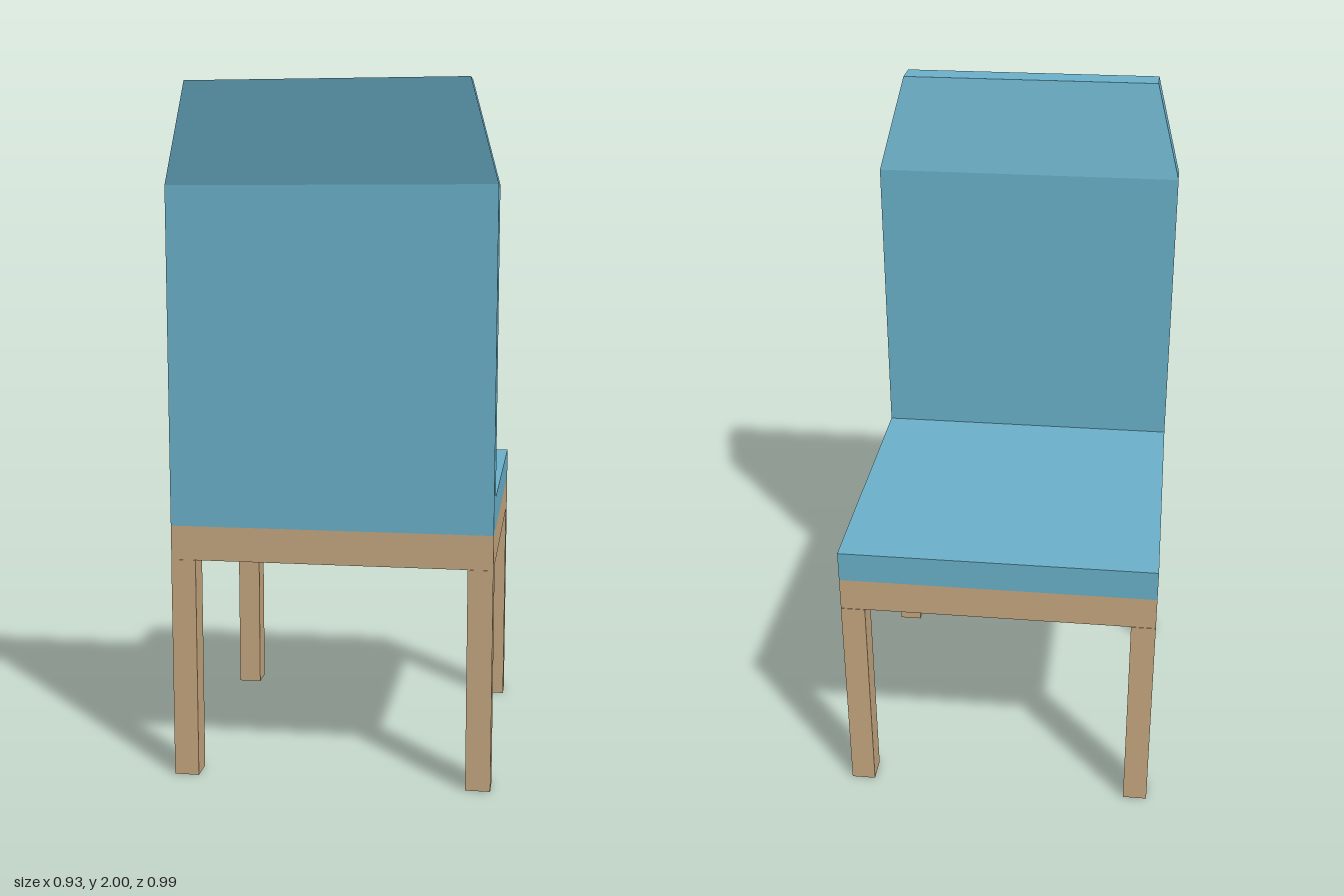
import * as THREE from 'three';

const W = 0.93;                  // overall width
const FRONT = -0.495, BACK = 0.44; // depth range of the seat
const LEG = 0.072;

export function createModel() {
  const chair = new THREE.Group();
  chair.name = 'chair';
  const fabric = new THREE.MeshStandardMaterial({ color: 0x6cb3cd, flatShading: true });
  const wood = new THREE.MeshStandardMaterial({ color: 0xc9aa82, flatShading: true });

  const add = (name, geometry, material, x = 0, y = 0, z = 0) => {
    const mesh = new THREE.Mesh(geometry, material);
    mesh.name = name;
    mesh.position.set(x, y, z);
    chair.add(mesh);
  };

  // Four square legs, flush with the corners of the frame
  const legGeometry = new THREE.BoxGeometry(LEG, 0.65, LEG + 0.003);
  for (const [side, sx] of [['Left', 1], ['Right', -1]]) {
    add('backrestLeg' + side, legGeometry, wood, sx * (W - LEG) / 2, 0.325, BACK - LEG / 2);
    add('seatLeg' + side, legGeometry, wood, sx * (W - LEG) / 2, 0.325, FRONT + LEG / 2);
  }

  // Solid wooden frame under the cushion
  add('seatFrame', new THREE.BoxGeometry(W, 0.1, BACK - FRONT), wood, 0, 0.7, (BACK + FRONT) / 2);

  // L-shaped upholstery: seat and upright back in one piece
  const profile = new THREE.Shape([
    [FRONT, 0.75], [BACK, 0.75], [BACK, 1.72], [0.354, 1.72], [0.354, 0.842], [FRONT, 0.842],
  ].map(([z, y]) => new THREE.Vector2(z, y)));
  const upholstery = new THREE.ExtrudeGeometry(profile, { depth: W, bevelEnabled: false });
  upholstery.rotateY(-Math.PI / 2).translate(W / 2, 0, 0);
  add('seatAndBackrest', upholstery, fabric);

  // Headrest: narrows and leans backwards towards its top
  const headrest = new THREE.BoxGeometry(W, 0.28, BACK - 0.354);
  const p = headrest.attributes.position;
  for (let i = 0; i < p.count; i++) {
    if (p.getY(i) > 0) {
      p.setX(i, p.getX(i) * 0.78 / W);
      p.setZ(i, p.getZ(i) + 0.056);
    }
  }
  headrest.computeVertexNormals();
  add('headrest', headrest, fabric, 0, 1.86, (BACK + 0.354) / 2);

  return chair;
}
